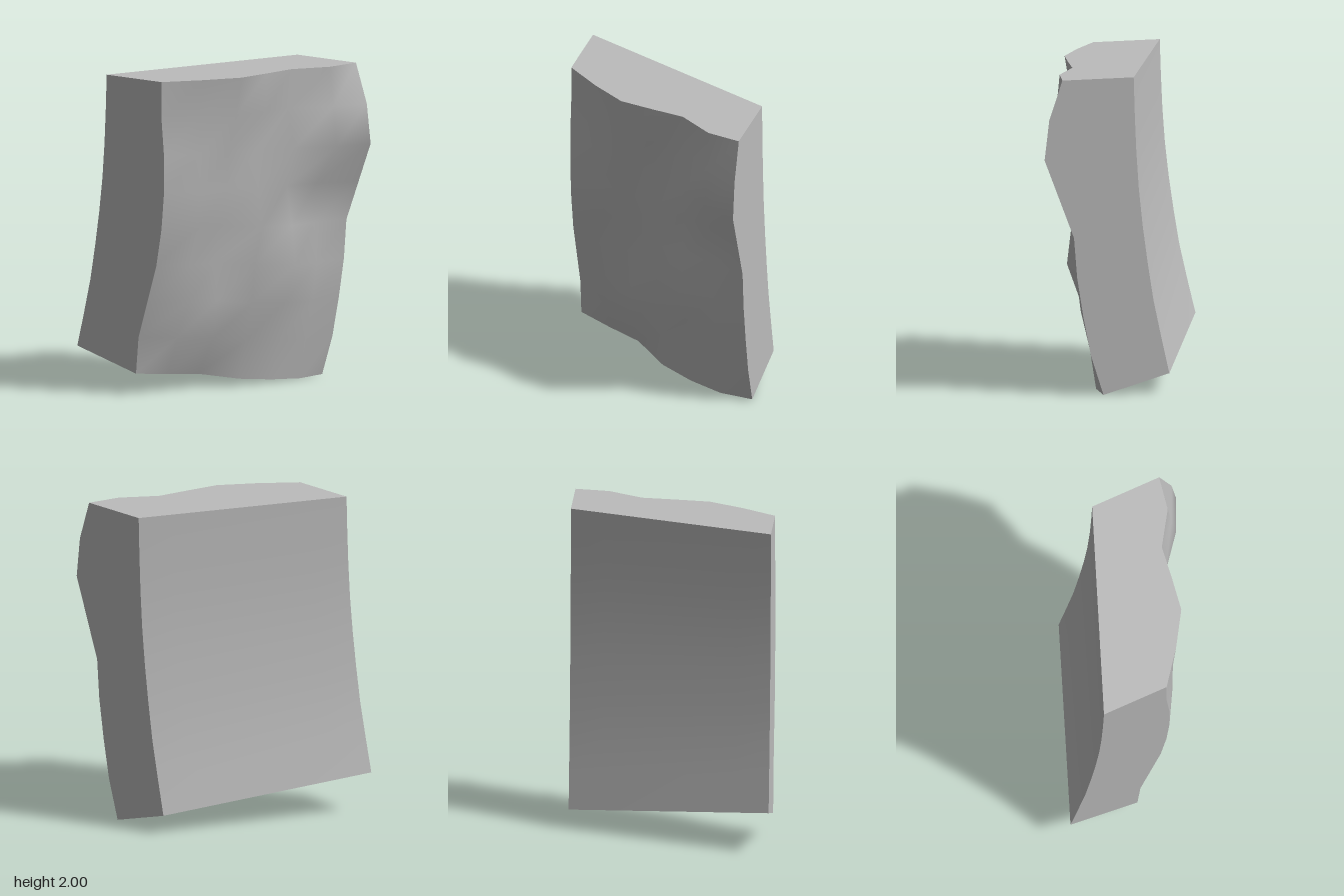
import * as THREE from 'three';

const HALF = 0.64, COLS = 6, ROWS = 8;

// x of the hewn face: rows from bottom to top, columns from front to back
const hewn = [
  [-0.20, -0.115, -0.04, 0.12, 0.21, 0.27, 0.28],
  [-0.18, -0.04, 0.08, 0.17, 0.26, 0.31, 0.36],
  [-0.11, 0.05, 0.11, 0.22, 0.31, 0.37, 0.41],
  [-0.04, 0.065, 0.09, 0.24, 0.40, 0.40, 0.45],
  [0.00, 0.11, 0.13, 0.30, 0.37, 0.38, 0.47],
  [0.02, 0.14, 0.19, 0.27, 0.33, 0.40, 0.565],
  [0.02, 0.14, 0.20, 0.26, 0.39, 0.56, 0.66],
  [0.00, 0.13, 0.26, 0.33, 0.335, 0.53, 0.63],
  [0.00, 0.165, 0.30, 0.335, 0.365, 0.505, 0.545],
];
// x of the curved smooth face at the front end, bottom to top
const curve = [-0.66, -0.607, -0.557, -0.52, -0.488, -0.463, -0.447, -0.437, -0.43];

// The underside is a slanted plane; each upright line of points runs from it to the flat top
const underside = (x) => Math.max(0, 0.078 - 0.277 * x);
const height = (xBottom, j) => THREE.MathUtils.lerp(underside(xBottom), 2, j / ROWS);
const depth = (i) => HALF - (2 * HALF * i) / COLS;

const hewnPoint = (i, j) => [hewn[j][i], height(hewn[0][i], j), depth(i)];
const smoothPoint = (i, j) => {
  const shift = (0.515 * i) / COLS;
  return [curve[j] + shift, height(curve[0] + shift, j), depth(i)];
};
// Point across the thickness, k = 0 on the smooth face and 1 on the hewn face
const across = (k, i, j) => (k ? hewnPoint(i, j) : smoothPoint(i, j));

// Surface over a grid of points; it faces along (u direction) x (v direction)
function surface(name, nu, nv, point, material) {
  const positions = [], index = [];
  for (let v = 0; v <= nv; v++) {
    for (let u = 0; u <= nu; u++) positions.push(...point(u, v));
  }
  for (let v = 0; v < nv; v++) {
    for (let u = 0; u < nu; u++) {
      const a = v * (nu + 1) + u, b = a + 1, c = a + nu + 1, d = c + 1;
      index.push(a, b, d, a, d, c);
    }
  }
  const geometry = new THREE.BufferGeometry();
  geometry.setAttribute('position', new THREE.Float32BufferAttribute(positions, 3));
  geometry.setIndex(index);
  geometry.computeVertexNormals();
  const mesh = new THREE.Mesh(geometry, material);
  mesh.name = name;
  return mesh;
}

export function createModel() {
  const stone = new THREE.MeshStandardMaterial({ color: 0xbcbcbc });
  stone.name = 'grey stone';

  const block = new THREE.Group();
  block.name = 'stoneBlock';
  block.add(
    surface('hewnFace', COLS, ROWS, hewnPoint, stone),
    surface('smoothFace', COLS, ROWS, (u, v) => smoothPoint(COLS - u, v), stone),
    surface('frontEnd', 1, ROWS, (u, v) => across(u, 0, v), stone),
    surface('backEnd', 1, ROWS, (u, v) => across(1 - u, COLS, v), stone),
    surface('topFace', 1, COLS, (u, v) => across(u, v, ROWS), stone),
    surface('underside', 1, COLS, (u, v) => across(u, COLS - v, 0), stone),
  );
  return block;
}
